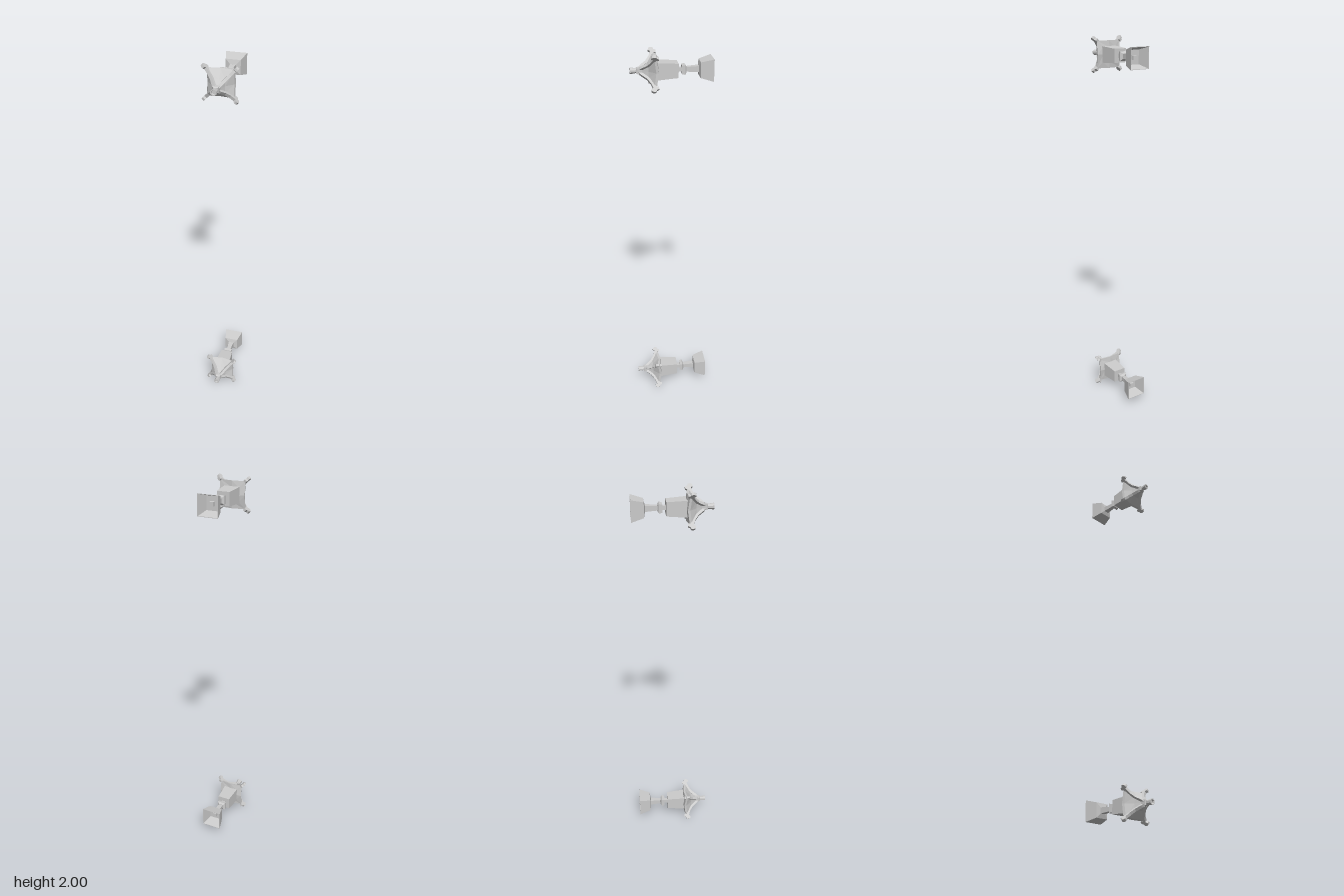
import * as THREE from 'three';

const material = new THREE.MeshStandardMaterial({ color: 0xcccccc, flatShading: true, side: THREE.DoubleSide });

function part(name, geometry) {
  const mesh = new THREE.Mesh(geometry, material);
  mesh.name = name;
  return mesh;
}

// Turned section along z from [half width, z] pairs
function turned(profile, sides, phi, scale = 1) {
  const points = profile.map(([r, z]) => new THREE.Vector2(r * scale, z));
  return new THREE.LatheGeometry(points, sides, phi).rotateX(Math.PI / 2);
}
const square = (profile) => turned(profile, 4, Math.PI / 4, Math.SQRT2);

// Concave square canopy whose corners sweep forward
function canopyGeometry() {
  const geometry = turned(
    [[0.036, 0.064], [0.068, 0.066], [0.064, 0.078], [0.03, 0.111], [0.015, 0.14], [0.014, 0.163], [0.011, 0.168], [0, 0.168]],
    8, Math.PI / 4);
  const p = geometry.attributes.position;
  for (let i = 0; i < p.count; i++) {
    const x = p.getX(i), y = p.getY(i);
    const corner = Math.abs(x) > 1e-5 && Math.abs(y) > 1e-5;
    if (!corner) continue;
    const half = Math.hypot(x, y);
    p.setXYZ(i, x * Math.SQRT2, y * Math.SQRT2, p.getZ(i) + 0.011 * (half / 0.07) ** 2);
  }
  return geometry;
}

// Curved rib with a knob and a backward hook, drawn as radius against z
function clawGeometry(angle) {
  const outline = [
    [0.015, 0.157], [0.026, 0.148], [0.048, 0.121], [0.072, 0.104], [0.098, 0.094],
    [0.105, 0.104], [0.115, 0.102], [0.121, 0.092], [0.118, 0.08], [0.109, 0.077],
    [0.104, 0.066], [0.092, 0.067], [0.09, 0.08], [0.066, 0.091], [0.04, 0.111], [0.015, 0.14],
  ];
  const shape = new THREE.Shape(outline.map(([r, z]) => new THREE.Vector2(r, z)));
  const depth = 0.014;
  return new THREE.ExtrudeGeometry(shape, { depth, bevelEnabled: false })
    .translate(0, 0, -depth / 2)
    .rotateX(Math.PI / 2)
    .rotateZ(angle);
}

function createFixture(name) {
  const fixture = new THREE.Group();
  fixture.name = name;

  // Hollow cup open to the rear, with a small nub on its floor
  fixture.add(part('rearCup', square([
    [0, -0.141], [0.035, -0.141], [0.051, -0.2], [0.0535, -0.2], [0.0375, -0.138], [0.015, -0.132], [0, -0.132],
  ])));
  fixture.add(part('cupNub', square([[0, -0.16], [0.01, -0.16], [0.011, -0.14]])));

  // Stepped neck and collar
  fixture.add(part('neck', square([
    [0.015, -0.134], [0.011, -0.073], [0.014, -0.073], [0.023, -0.065], [0.02, -0.05], [0.01, -0.05], [0.01, -0.03],
  ])));

  // Tapered main body
  fixture.add(part('body', square([[0, -0.032], [0.034, -0.032], [0.041, 0.075], [0, 0.075]])));

  // Canopy with four diagonal claws
  fixture.add(part('canopy', canopyGeometry()));
  for (let i = 0; i < 4; i++) {
    fixture.add(part('claw', clawGeometry(Math.PI / 4 + i * Math.PI / 2)));
  }

  // Flared front tip with a shallow recess
  fixture.add(part('tip', turned(
    [[0.011, 0.163], [0.016, 0.199], [0.011, 0.199], [0.009, 0.19], [0, 0.19]], 8, Math.PI / 8)));
  return fixture;
}

export function createModel() {
  const model = new THREE.Group();
  model.name = 'fixturePair';
  const lower = createFixture('lowerFixture');
  lower.position.y = 0.0905;
  const upper = createFixture('upperFixture');
  upper.position.y = 1.9095;
  model.add(lower, upper);
  return model;
}
